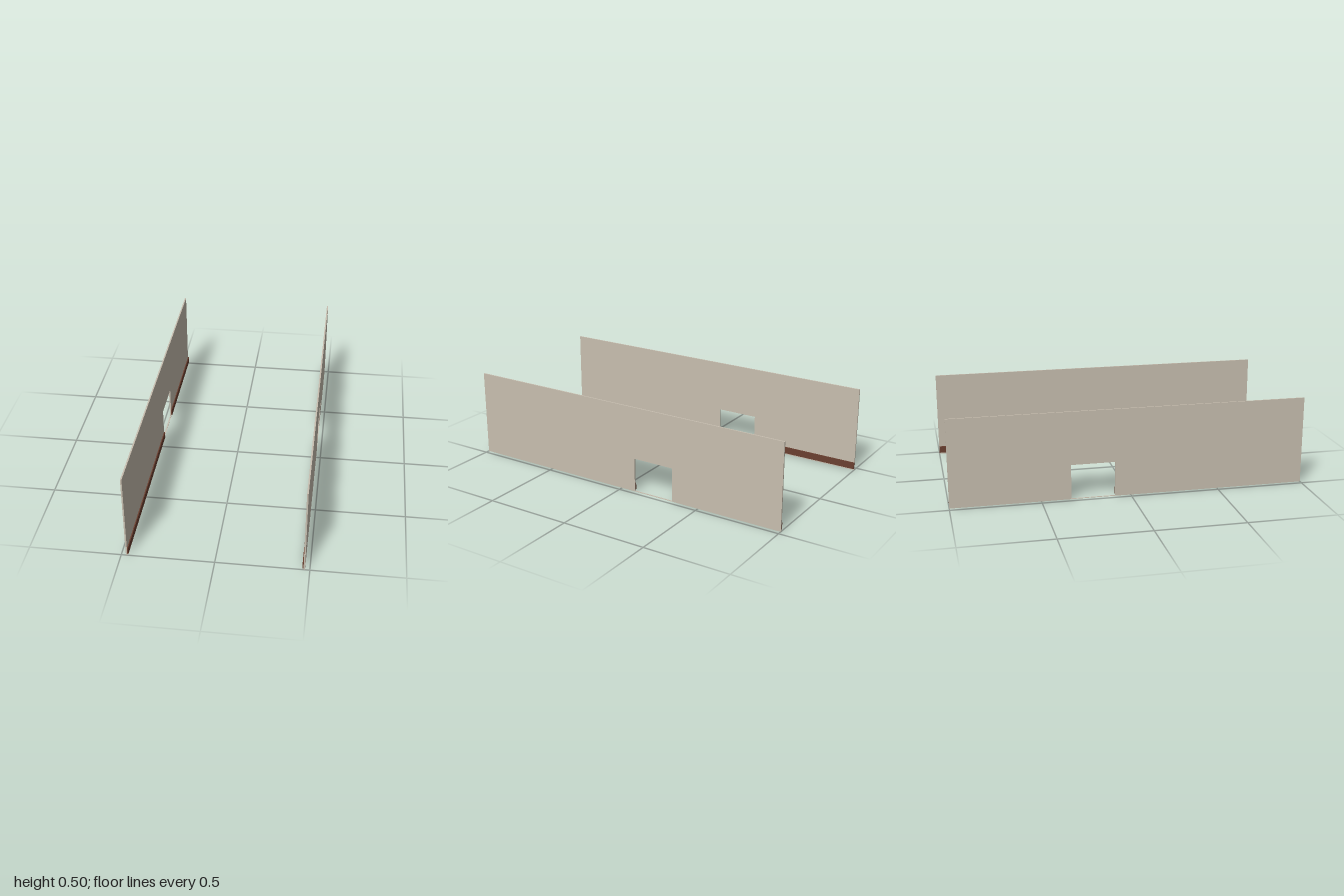
import * as THREE from 'three';

export function createModel() {
  const model = new THREE.Group();
  const plaster = new THREE.MeshStandardMaterial({ color: 0xc8bfb0 });
  plaster.name = 'plaster';
  const wood = new THREE.MeshStandardMaterial({ color: 0x6b4030 });
  wood.name = 'brown wood';

  const doorFront = -0.088, doorBack = -0.334, doorTop = 0.198, sill = 0.002;
  const wallOuter = 0.475, wallThickness = 0.008, boardThickness = 0.006;
  const wallInner = wallOuter - wallThickness;

  // Wall outline in (-z, y) with the doorway cut above a thin sill
  const outline = new THREE.Shape([
    [-1, 0], [1, 0], [1, 0.5], [-1, 0.5],
  ].map(([a, b]) => new THREE.Vector2(a, b)));
  outline.holes.push(new THREE.Path([
    [-doorFront, sill], [-doorFront, doorTop], [-doorBack, doorTop], [-doorBack, sill],
  ].map(([a, b]) => new THREE.Vector2(a, b))));
  const wallGeometry = new THREE.ExtrudeGeometry(outline, { depth: wallThickness, bevelEnabled: false });
  wallGeometry.rotateY(Math.PI / 2);

  for (const [side, label] of [[1, 'left'], [-1, 'right']]) {
    const wall = new THREE.Mesh(wallGeometry, plaster);
    wall.name = label + 'Wall';
    wall.position.x = side > 0 ? wallInner : -wallOuter;
    model.add(wall);

    // Skirting boards on the inner face, interrupted by the doorway
    for (const [z0, z1, place] of [[doorFront, 1, 'Front'], [-1, doorBack, 'Back']]) {
      const board = new THREE.Mesh(new THREE.BoxGeometry(boardThickness, 0.04, z1 - z0), wood);
      board.name = label + place + 'SkirtingBoard';
      board.position.set(side * (wallInner - boardThickness / 2), 0.028, (z0 + z1) / 2);
      model.add(board);
    }
  }
  return model;
}
